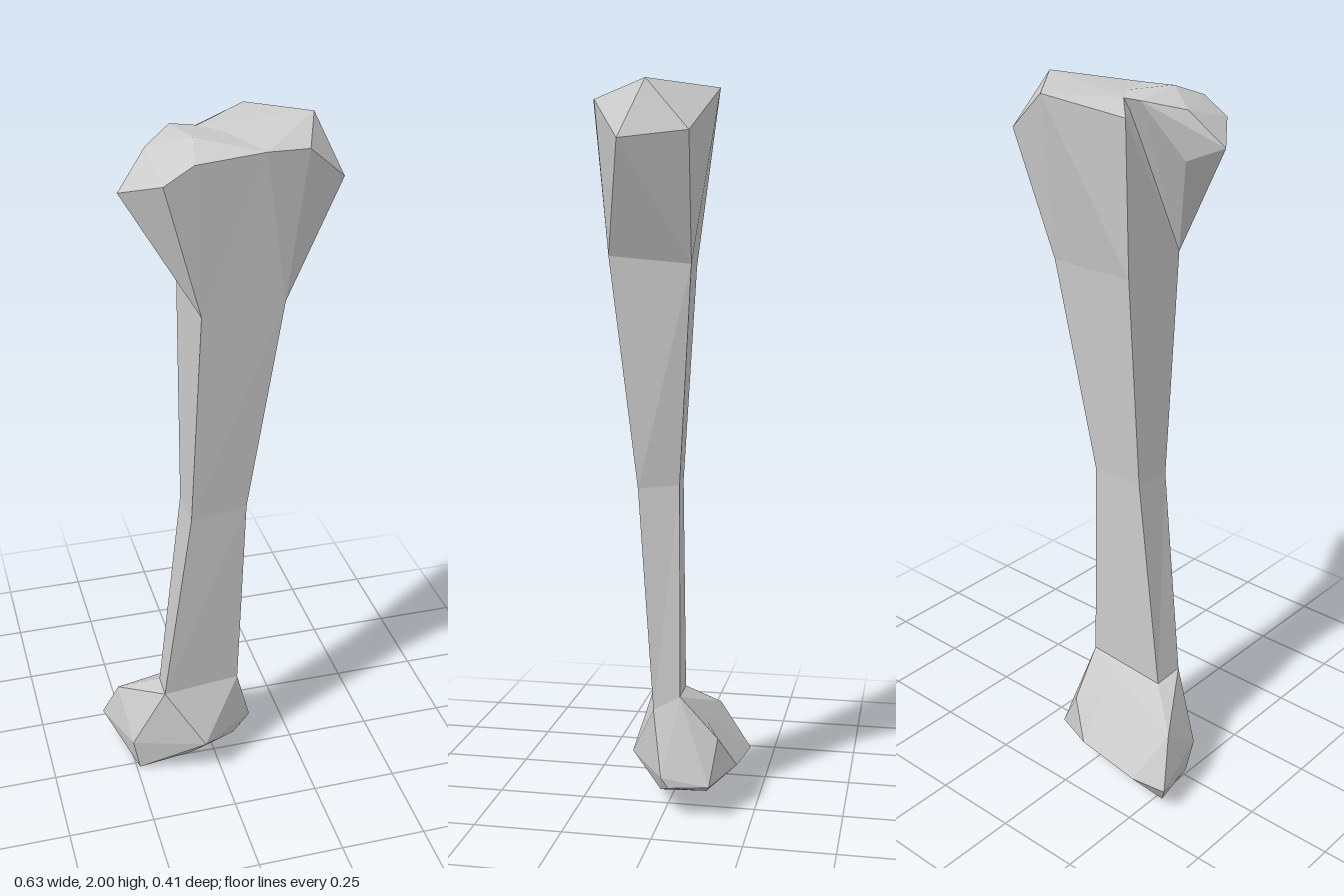
import * as THREE from 'three';
import { ConvexGeometry } from 'three/addons/geometries/ConvexGeometry.js';

const material = new THREE.MeshStandardMaterial({ color: 0xcccccc, flatShading: true });

// Four-cornered shaft sections, bottom to top:
// front-left, back-left, back-right, front-right corner of each
const rings = [
  [[0.065, 0.30, 0.03], [0.06, 0.34, -0.045], [-0.163, 0.30, -0.022], [-0.167, 0.31, 0.067]],
  [[0.075, 0.93, 0.07], [0.055, 0.94, -0.042], [-0.09, 0.93, -0.027], [-0.087, 0.92, 0.09]],
  [[0.152, 1.56, 0.13], [0.15, 1.54, -0.09], [-0.083, 1.53, -0.065], [-0.072, 1.55, 0.152]],
];

// Joins consecutive sections with flat quads
function loft(sections) {
  const pos = [];
  for (let r = 0; r < sections.length - 1; r++) {
    const lo = sections[r], hi = sections[r + 1], n = lo.length;
    for (let i = 0; i < n; i++) {
      const j = (i + 1) % n;
      pos.push(...lo[i], ...lo[j], ...hi[j], ...lo[i], ...hi[j], ...hi[i]);
    }
  }
  const g = new THREE.BufferGeometry();
  g.setAttribute('position', new THREE.Float32BufferAttribute(pos, 3));
  g.computeVertexNormals();
  return g;
}

// Faceted lump around a few corner points
const lump = (points) => new ConvexGeometry(points.map((p) => new THREE.Vector3(...p)));

export function createModel() {
  const model = new THREE.Group();
  model.name = 'bone';
  const add = (name, geometry) => {
    const mesh = new THREE.Mesh(geometry, material);
    mesh.name = name;
    model.add(mesh);
  };

  add('shaft', loft(rings));

  // Upper end: wide plateau on the left, knob on the right.
  // They meet along the front crease and the dip in the top.
  const top = rings[2];
  const crease = [-0.01, 1.75, 0.158];
  const rim = [0.08, 1.965, 0.185];
  const dip = [0.02, 1.975, 0.045];
  const backDip = [-0.035, 1.975, -0.03];
  add('upperPlateau', lump([
    ...top, crease, rim, dip, backDip,
    [0.195, 1.955, 0.155], [0.315, 1.85, 0.07], [0.25, 2.0, 0.01],
    [0.275, 1.87, -0.105], [0.12, 1.985, -0.16], [-0.08, 1.94, -0.075],
  ]));
  add('upperKnob', lump([
    top[3], crease, rim, dip, backDip,
    [-0.08, 1.99, 0.11], [-0.1, 1.955, 0.205], [-0.175, 1.91, 0.205],
    [-0.26, 1.865, 0.09], [-0.18, 1.955, 0.04], [-0.1, 1.98, -0.045],
    [-0.18, 1.83, 0.035],
  ]));

  // Lower end: small condyle on the left, large one reaching down on the right,
  // with a notch between them underneath.
  const base = rings[0];
  const front = [-0.055, 0.13, 0.115];
  const notch = [-0.085, 0.08, 0.08];
  const back = [-0.025, 0.12, -0.195];
  const backNotch = [-0.07, 0.08, -0.14];
  const shoulder = [0.045, 0.22, -0.15];
  add('smallCondyle', lump([
    ...base, front, notch, back, backNotch, shoulder,
    [0.113, 0.12, 0.0], [0.11, 0.09, -0.02], [0.11, 0.1, -0.135],
    [0.06, 0.065, 0.01], [0.06, 0.07, -0.12],
  ]));
  add('largeCondyle', lump([
    ...base, front, notch, back, backNotch,
    [-0.26, 0.11, 0.03], [-0.275, 0.22, -0.11], [-0.315, 0.08, -0.175],
    [-0.225, 0.1, -0.208], [-0.24, 0.0, 0.02], [-0.28, 0.015, -0.14],
  ]));

  return model;
}
